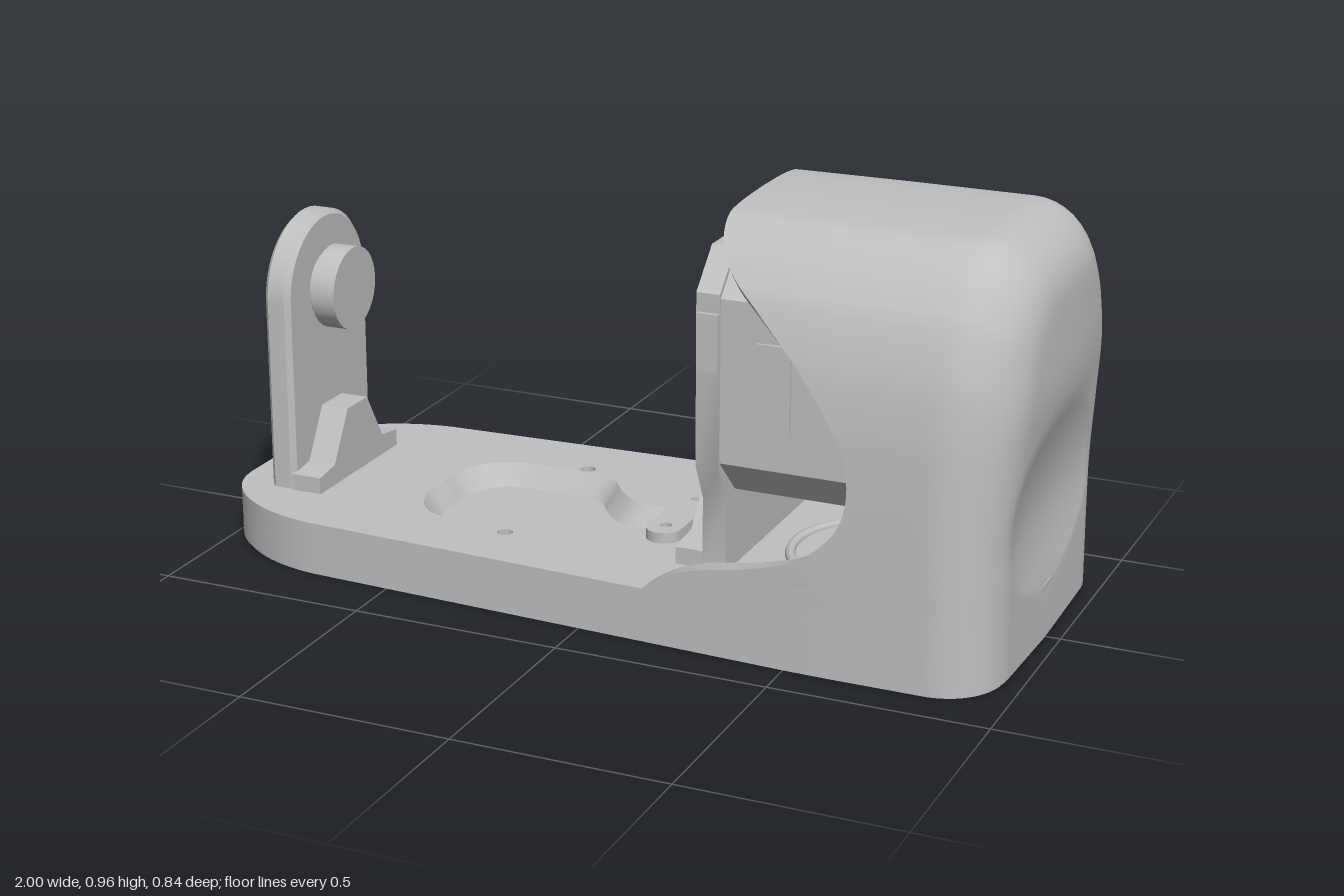
import * as THREE from 'three';
import { toCreasedNormals } from 'three/addons/utils/BufferGeometryUtils.js';

const V2 = (p) => new THREE.Vector2(p[0], p[1]);
const spline = (pts) => new THREE.SplineCurve(pts.map(V2));
const clamp = THREE.MathUtils.clamp;

// Looks up a value along a smooth curve of [value, y] points, y rising
function lookup(pts) {
  const s = spline(pts).getPoints(200);
  return (y) => {
    if (y <= s[0].y) return s[0].x;
    for (let i = 1; i < s.length; i++) {
      if (y <= s[i].y) {
        const t = (y - s[i - 1].y) / Math.max(1e-6, s[i].y - s[i - 1].y);
        return s[i - 1].x + t * (s[i].x - s[i - 1].x);
      }
    }
    return s[s.length - 1].x;
  };
}

// Surface through rows of points, creased where it turns sharply
function grid(rows, crease = 0.6) {
  const n = rows[0].length, index = [];
  for (let r = 0; r < rows.length - 1; r++) {
    for (let c = 0; c < n - 1; c++) {
      const a = r * n + c, d = a + n;
      index.push(a, a + 1, d + 1, a, d + 1, d);
    }
  }
  const g = new THREE.BufferGeometry();
  g.setAttribute('position', new THREE.Float32BufferAttribute(rows.flat(2), 3));
  g.setIndex(index);
  return toCreasedNormals(g, crease);
}

const extrude = (shape, depth, bevel = 0) => toCreasedNormals(new THREE.ExtrudeGeometry(shape, {
  depth: depth - 2 * bevel, curveSegments: 24, bevelEnabled: bevel > 0,
  bevelThickness: bevel, bevelSize: bevel, bevelOffset: -bevel, bevelSegments: 1,
}).translate(0, 0, bevel), 0.5);
// Plan shape (x, -z) raised from y0 to y1
const slab = (shape, y0, y1) => extrude(shape, y1 - y0).rotateX(-Math.PI / 2).translate(0, y0, 0);
// Profile (z, y) carried along x from x0 to x1
const alongX = (shape, x0, x1, bevel) => extrude(shape, x1 - x0, bevel).rotateY(Math.PI / 2).translate(x0, 0, 0);
const rod = (r, x0, x1, y, z) => new THREE.CylinderGeometry(r, r, x1 - x0, 32)
  .rotateZ(Math.PI / 2).translate((x0 + x1) / 2, y, z);
const circle = (x, y, r) => new THREE.Path().absarc(x, y, r, 0, Math.PI * 2);

// Half width of the body at x
const width = (x) => Math.min(0.418, 0.36 + 0.0465 * (x + 0.7));
const R = 0.145; // rounding of the back corners

function outline(inset) {
  const half = [];
  const nose = new THREE.CubicBezierCurve(V2([-1, 0.12]), V2([-1, 0.24]), V2([-0.87, 0.345]), V2([-0.7, 0.36]));
  nose.getPoints(20).forEach((p) => half.push([p.x + inset * clamp((-0.7 - p.x) / 0.3, 0, 1), p.y - inset]));
  for (let x = -0.6; x < 0.8; x += 0.1) half.push([x, width(x) - inset]);
  for (let i = 0; i <= 12; i++) {
    const a = (i / 12) * Math.PI / 2;
    half.push([0.965 - R + (R - inset) * Math.sin(a), 0.418 - R + (R - inset) * Math.cos(a)]);
  }
  return new THREE.Shape([...half, ...half.slice().reverse().map(([x, z]) => [x, -z])].map(V2));
}

// Keyhole loop from one half, mirrored across z
function keyhole(pts) {
  const h = spline(pts).getPoints(50);
  return [...h, ...h.slice(0, -1).reverse().map((p) => V2([p.x, -p.y]))];
}

function hoodGeometry() {
  const edgeX = lookup([[0.16, 0.13], [0.22, 0.17], [0.3, 0.2], [0.42, 0.225], [0.54, 0.27], [0.62, 0.35], [0.64, 0.45],
    [0.61, 0.55], [0.53, 0.67], [0.42, 0.78], [0.34, 0.85], [0.3, 0.9], [0.28, 0.95]]);
  const backX = lookup([[0.965, 0], [0.962, 0.25], [0.967, 0.35], [0.985, 0.5], [1, 0.62], [0.997, 0.75], [0.985, 0.96]]);
  // Back wall bulges in the middle, with a shallow oval dimple below
  const back = (z, y) => 0.965 + (backX(y) - 0.965) * (1 - (z / 0.43) ** 2)
    - 0.025 * Math.max(0, 1 - (z / 0.3) ** 2 - ((y - 0.34) / 0.21) ** 2);
  const half = spline([[0.418, 0.012], [0.418, 0.15], [0.418, 0.3], [0.414, 0.5], [0.408, 0.6], [0.393, 0.7], [0.36, 0.8],
    [0.33, 0.85], [0.285, 0.9], [0.22, 0.942], [0.14, 0.956], [0, 0.96]]).getSpacedPoints(130);
  const arch = [...half, ...half.slice(0, -1).reverse().map((p) => V2([-p.x, p.y]))];
  // One run from the opening edge to the middle of the back wall; the wall thickens low down
  const run = (p, th) => {
    const side = th * (1 + clamp((0.35 - p.y) / 0.15, 0, 1));
    const z0 = p.x * (1 - side / 0.42), y0 = p.y * (1 - th / 0.96), xe = edgeX(p.y), out = [];
    const add = (x, s, sy) => out.push([x, y0 * sy, z0 * s * width(x) / 0.418]);
    const xs = back(z0, y0) - R - th;
    for (let i = 0; i <= 8; i++) add(xe + (xs - xe) * i / 8, 1, 1);
    for (let i = 1; i <= 10; i++) {
      const a = (i / 10) * Math.PI / 2, ins = R * (1 - Math.cos(a));
      const s = 1 - ins / 0.42, sy = 1 - ins / 0.96;
      add(back(z0 * s, y0 * sy) - th - R + R * Math.sin(a), s, sy);
    }
    for (let i = 21; i >= 0; i--) {
      const s = (1 - R / 0.42) * i / 22, sy = (1 - R / 0.96) * i / 22;
      add(back(z0 * s, y0 * sy) - th, s, sy);
    }
    return out;
  };
  return grid(arch.map((p) => [...run(p, 0.035).reverse(), ...run(p, 0)]));
}

export function createModel() {
  const model = new THREE.Group();
  const grey = new THREE.MeshStandardMaterial({ color: 0xc0c0c0 });
  grey.name = 'lightGrey';
  const add = (name, geometry) => {
    const m = new THREE.Mesh(geometry, grey);
    m.name = name;
    model.add(m);
  };

  // Base: solid floor layer, top layer with a sloped keyhole pocket
  const outer = keyhole([[-0.54, 0], [-0.54, 0.08], [-0.5, 0.16], [-0.42, 0.2], [-0.25, 0.2], [-0.17, 0.18],
    [-0.12, 0.12], [-0.06, 0.076], [0.02, 0.07], [0.2, 0.07]]);
  const inner = keyhole([[-0.505, 0], [-0.505, 0.07], [-0.47, 0.135], [-0.41, 0.165], [-0.26, 0.165], [-0.19, 0.15],
    [-0.15, 0.1], [-0.08, 0.04], [0.02, 0.032], [0.2, 0.032]]);
  const pins = () => [1, -1].map((s) => circle(-0.26, s * 0.224, 0.018));
  const floor = outline(0.002), top = outline(0.002);
  floor.holes.push(...pins());
  top.holes.push(new THREE.Path(outer.slice(0, -1)), ...pins());
  add('baseFloor', slab(floor, 0.012, 0.08));
  add('baseTop', slab(top, 0.08, 0.13));
  add('pocketWall', grid([outer.map((p) => [p.x, 0.13, p.y]), inner.map((p) => [p.x, 0.08, p.y])]));

  // Grip pad with slanted tread slots and round recesses
  const pad = outline(0.01);
  const recesses = [[-0.85, 0.12], [-0.85, -0.12], [-0.3, 0.05], [0.1, 0.22], [0.1, -0.22], [0.4, 0], [0.72, 0.22], [0.72, -0.22]];
  pad.holes.push(...pins(), ...recesses.map(([x, z]) => circle(x, z, 0.042)));
  const blocked = [...recesses, [-0.26, 0.224], [-0.26, -0.224]];
  for (let row = -4; row <= 4; row++) {
    const z = row * 0.08, d = row % 2 ? 0.025 : -0.025;
    for (let x = -0.91; x < 0.9; x += 0.068) {
      const limit = x < -0.7 ? 0.3 - (-0.7 - x) * 0.75 : x > 0.8 ? 0.28 : width(x) - 0.07;
      if (Math.abs(z) > limit || blocked.some(([a, b]) => Math.hypot(a - x, b - z) < 0.095)) continue;
      pad.holes.push(new THREE.Path([[x - d - 0.012, z - 0.035], [x - d + 0.012, z - 0.035],
        [x + d + 0.012, z + 0.035], [x + d - 0.012, z + 0.035]].map(V2)));
    }
  }
  add('gripPad', slab(pad, 0, 0.012));

  // Hood over the motor
  add('hood', hoodGeometry());
  add('floorRing', new THREE.TorusGeometry(0.2, 0.012, 8, 48).rotateX(Math.PI / 2).translate(0.57, 0.13, 0));

  // Cable clip with two screw holes
  const clip = new THREE.Shape().absarc(0.085, 0.1, 0.042, 0, Math.PI).absarc(0.085, -0.1, 0.042, Math.PI, Math.PI * 2);
  clip.holes.push(circle(0.085, 0.09, 0.014), circle(0.085, -0.09, 0.014));
  add('cableClip', slab(clip, 0.12, 0.155));

  // Humped foot shared by both uprights
  const foot = (w) => new THREE.Shape([[-w, 0.125], [w, 0.125], [w, 0.17], [w * 0.62, 0.18], [w * 0.25, 0.3],
    [-w * 0.25, 0.3], [-w * 0.62, 0.18], [-w, 0.17]].map(V2));

  // Idler post: arched plate, neck, hub and outer cap
  const post = new THREE.Shape([V2([-0.185, 0.125]), V2([0.185, 0.125])]);
  post.absarc(0, 0.587, 0.185, 0, Math.PI);
  add('post', alongX(post, -0.905, -0.838, 0.012));
  add('postFoot', alongX(foot(0.188), -0.845, -0.768));
  add('hubNeck', rod(0.085, -0.845, -0.82, 0.59, 0));
  add('hub', rod(0.1, -0.825, -0.765, 0.59, 0));
  add('hubCap', rod(0.05, -0.909, -0.9, 0.59, 0));

  // Motor bracket: plate with bore and bolt holes
  const H = 0.283, C = 0.59, k = 0.085;
  const plate = new THREE.Shape([[-0.24, 0.125], [0.24, 0.125], [0.24, 0.3], [H, C - H + k], [H, C + H - k], [H - k, C + H],
    [k - H, C + H], [-H, C + H - k], [-H, C - H + k], [-0.24, 0.3]].map(V2));
  plate.holes.push(circle(0, C, 0.205));
  for (const s of [-1, 1]) {
    for (const t of [-1, 1]) plate.holes.push(circle(s * 0.2, C + t * 0.2, 0.03));
  }
  add('bracketPlate', alongX(plate, 0.24, 0.295));
  add('bracketFoot', alongX(foot(0.235), 0.172, 0.245));

  // Motor: chamfered square body with face screws and side labels
  const h = 0.278, q = 0.09;
  const body = new THREE.Shape([[-h, q - h], [q - h, -h], [h - q, -h], [h, q - h], [h, h - q], [h - q, h], [q - h, h], [-h, h - q]]
    .map(([z, y]) => V2([z, y + C])));
  add('motorBody', alongX(body, 0.295, 0.7));
  for (let i = 0; i < 6; i++) {
    const a = i * Math.PI / 3 + 0.3;
    add('faceScrew', rod(0.016, 0.288, 0.3, C + 0.13 * Math.sin(a), 0.13 * Math.cos(a)));
  }
  for (const s of [-1, 1]) {
    add('motorLabel', new THREE.BoxGeometry(0.08, 0.2, 0.009).translate(0.42, C, s * 0.281));
    add('bracketLug', new THREE.BoxGeometry(0.05, 0.13, 0.016).translate(0.27, 0.68, s * 0.287));
  }
  return model;
}
